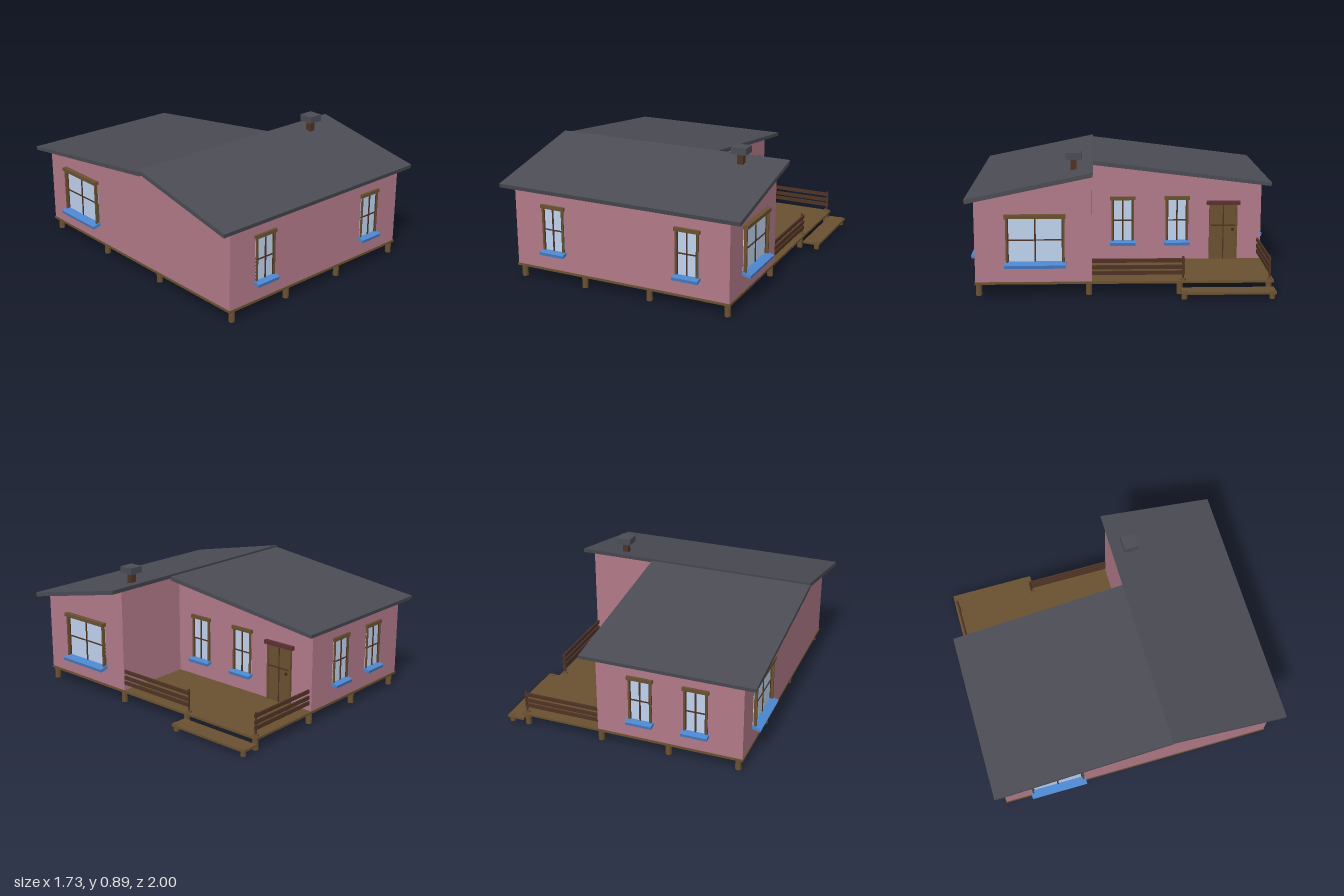
import * as THREE from 'three';

const mat = (color) => new THREE.MeshStandardMaterial({ color, flatShading: true });
const M = {
  wall: mat(0xb27a89), roof: mat(0x4b4c54), wood: mat(0x6a5130), dark: mat(0x4f3324),
  red: mat(0x5c3030), glass: mat(0xbfd4ef), sill: mat(0x4a86d0), knob: mat(0x33291c),
};

function add(parent, name, geometry, material) {
  const mesh = new THREE.Mesh(geometry, material);
  mesh.name = name;
  parent.add(mesh);
  return mesh;
}

// Box given by its two opposite corners
function box(parent, name, material, [x0, y0, z0], [x1, y1, z1]) {
  const g = new THREE.BoxGeometry(x1 - x0, y1 - y0, z1 - z0);
  g.translate((x0 + x1) / 2, (y0 + y1) / 2, (z0 + z1) / 2);
  return add(parent, name, g, material);
}

// Upright round post
function post(parent, name, material, x, z, y0, y1, r) {
  const g = new THREE.CylinderGeometry(r, r, y1 - y0, 12);
  return add(parent, name, g.translate(x, (y0 + y1) / 2, z), material);
}

// Outline in (z, y), extruded from x0 to x1
function slab(parent, name, material, outline, x0, x1) {
  const shape = new THREE.Shape(outline.map(([z, y]) => new THREE.Vector2(z, y)));
  const g = new THREE.ExtrudeGeometry(shape, { depth: x1 - x0, bevelEnabled: false });
  g.rotateY(-Math.PI / 2).translate(x1, 0, 0);
  return add(parent, name, g, material);
}

// Window facing local +z, bottom at y = 0.21; d is how far the frame stands out
function makeWindow(parent, name, w, d, x, z, turn) {
  const g = new THREE.Group();
  g.name = name;
  g.position.set(x, 0, z);
  g.rotation.y = turn;
  const h = w / 2, y0 = 0.215, y1 = 0.51, ym = 0.365;
  box(g, 'glass', M.glass, [-h, y0, -0.005], [h, y1, 0.004]);
  for (const s of [-1, 1]) {
    const c = s * (h - 0.006);
    box(g, 'jamb', M.wood, [c - 0.006, y0, 0], [c + 0.006, y1, d * 0.75]);
    const i = s * (h - 0.015);
    box(g, 'innerStrip', M.dark, [i - 0.003, y0, 0], [i + 0.003, y1, 0.008]);
  }
  box(g, 'mullion', M.dark, [-0.005, y0, 0], [0.005, y1, 0.009]);
  box(g, 'crossBar', M.dark, [-h, ym - 0.004, 0], [h, ym + 0.004, 0.009]);
  box(g, 'header', M.wood, [-h - 0.008, 0.506, 0], [h + 0.008, 0.53, d]);
  const depth = d * 0.9 + 0.032;
  const sill = add(g, 'sill', new THREE.BoxGeometry(w + 0.018, 0.022, depth), M.sill);
  sill.position.set(0, 0.209, depth / 2 - 0.003);
  sill.rotation.x = 0.25;
  parent.add(g);
}

export function createModel() {
  const house = new THREE.Group();
  house.name = 'house';
  const P = Math.PI;

  // Floor and stilts
  box(house, 'floor', M.wood, [-0.783, 0.075, -0.95], [0.748, 0.09, 0.955]);
  for (const x of [-0.744, -0.28, 0.188, 0.722])
    for (const z of [0.93, 0.23, -0.35, -0.92]) {
      if (z === -0.35 && Math.abs(x) < 0.5) continue;
      post(house, 'stilt', M.wood, x, z, 0, 0.08, 0.02);
    }

  // Front wing (full width) and back wing (narrower, beside the deck)
  slab(house, 'frontWalls', M.wall, [[0.21, 0.088], [0.95, 0.088], [0.95, 0.627], [0.21, 0.78]], -0.778, 0.742);
  slab(house, 'backWalls', M.wall, [[-0.945, 0.088], [0.21, 0.088], [0.21, 0.768], [-0.945, 0.624]], -0.778, 0.2);

  // Roof slabs
  slab(house, 'frontRoof', M.roof, [[0.205, 0.777], [0.994, 0.613], [1.0, 0.64], [0.2, 0.805]], -0.865, 0.826);
  slab(house, 'backRoof', M.roof, [[-0.997, 0.613], [0.205, 0.763], [0.205, 0.791], [-1.0, 0.637]], -0.865, 0.29);

  // Chimney
  box(house, 'chimneyStack', M.dark, [0.52, 0.74, 0.305], [0.562, 0.85, 0.343]);
  box(house, 'chimneyCap', M.roof, [0.491, 0.848, 0.275], [0.593, 0.893, 0.375]);

  // Windows
  for (const x of [-0.492, 0.46]) makeWindow(house, 'frontWindow', 0.158, 0.017, x, 0.95, 0);
  for (const x of [-0.47, -0.1]) makeWindow(house, 'backWindow', 0.158, 0.017, x, -0.945, P);
  for (const z of [0, -0.37]) makeWindow(house, 'deckWindow', 0.155, 0.017, 0.2, z, P / 2);
  makeWindow(house, 'largeRightWindow', 0.37, 0.033, 0.742, 0.567, P / 2);
  makeWindow(house, 'largeLeftWindow', 0.37, 0.033, -0.778, -0.57, -P / 2);

  // Door on the deck side
  const door = new THREE.Group();
  door.name = 'door';
  door.position.set(0.2, 0, -0.687);
  door.rotation.y = P / 2;
  box(door, 'panel', M.wood, [-0.093, 0.09, -0.005], [0.093, 0.472, 0.01]);
  for (const s of [-1, 1]) box(door, 'jamb', M.wood, [s * 0.09 - 0.006, 0.09, 0], [s * 0.09 + 0.006, 0.472, 0.018]);
  box(door, 'middleStrip', M.dark, [-0.004, 0.09, 0], [0.004, 0.472, 0.013]);
  box(door, 'crossStrip', M.dark, [-0.086, 0.321, 0], [0.086, 0.331, 0.013]);
  box(door, 'header', M.red, [-0.114, 0.47, 0], [0.114, 0.496, 0.025]);
  add(door, 'knob', new THREE.SphereGeometry(0.01, 10, 8), M.knob).position.set(0.063, 0.3, 0.018);
  house.add(door);

  // Deck railings, three boards each
  for (const y of [0.13, 0.167, 0.21]) {
    box(house, 'sideRailBoard', M.dark, [0.727, y, -0.38], [0.738, y + 0.025, 0.215]);
    box(house, 'backRailBoard', M.dark, [0.2, y, -0.93], [0.735, y + 0.025, -0.919]);
  }
  for (const z of [-0.37, -0.924]) {
    post(house, 'railPost', M.dark, 0.724, z, 0.09, 0.245, 0.007);
    post(house, 'postCap', M.wood, 0.724, z, 0.08, 0.103, 0.018);
  }

  // Low step beside the deck
  box(house, 'step', M.wood, [0.745, 0.032, -0.95], [0.864, 0.047, -0.35]);
  for (const z of [-0.37, -0.924]) post(house, 'stepPost', M.wood, 0.84, z, 0, 0.052, 0.018);

  return house;
}
